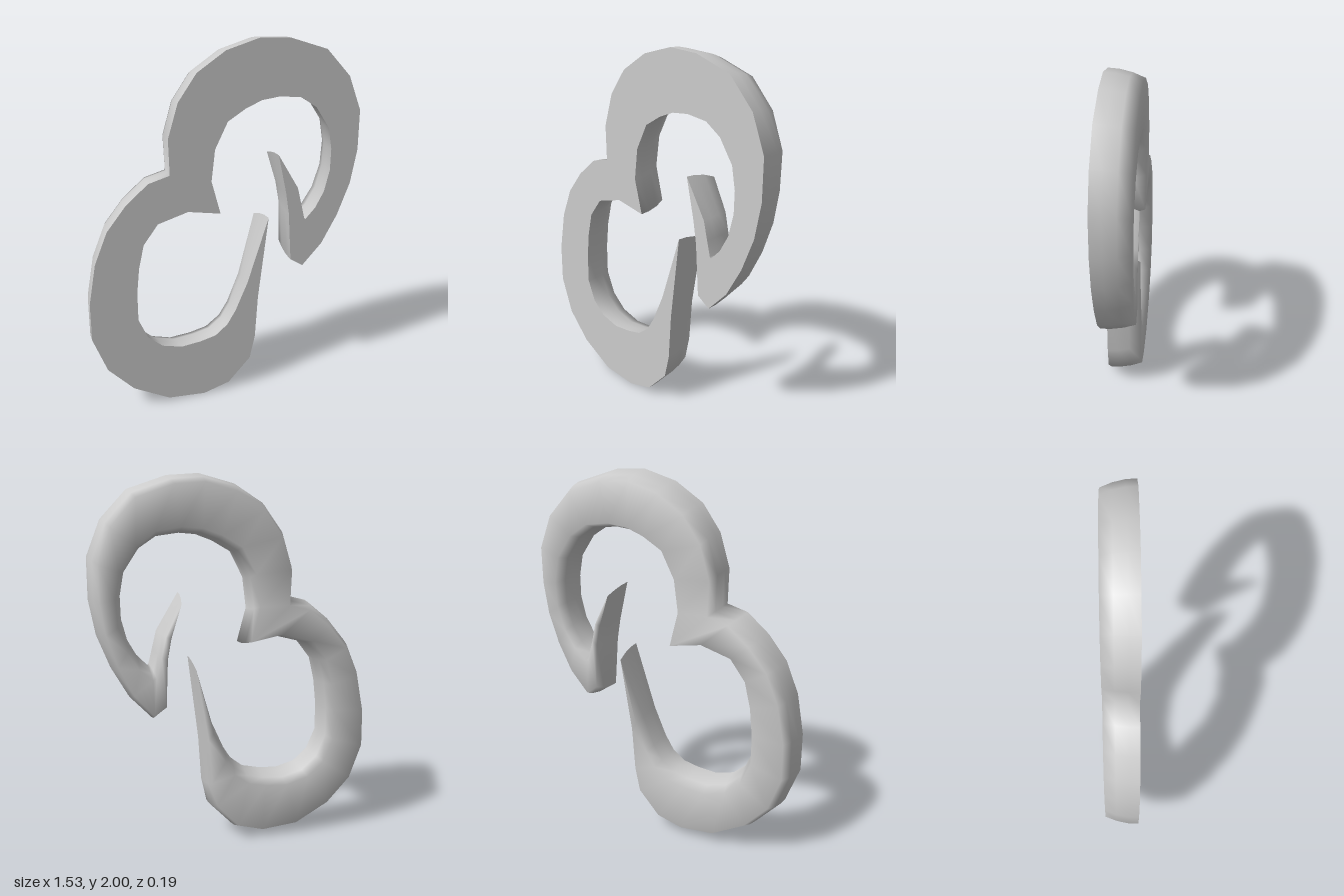
import * as THREE from 'three';

// Ribs across the band, from the upper tip to the lower tip: outer x, y, inner x, y
const RIBS = [
  [0.29, 1.38, 0.29, 1.38], [0.34, 1.16, 0.41, 1.18], [0.36, 1.04, 0.435, 1.08],
  [0.38, 0.76, 0.455, 1.0], [0.455, 0.71, 0.462, 0.99], [0.57, 0.83, 0.52, 1.05],
  [0.66, 0.99, 0.57, 1.14], [0.73, 1.17, 0.6, 1.26], [0.765, 1.36, 0.602, 1.38],
  [0.765, 1.58, 0.58, 1.5], [0.69, 1.77, 0.5, 1.62], [0.55, 1.92, 0.41, 1.68],
  [0.34, 1.99, 0.29, 1.695], [0.17, 2.0, 0.19, 1.685], [-0.01, 1.95, 0.1, 1.65],
  [-0.165, 1.85, 0, 1.59], [-0.265, 1.71, -0.07, 1.45], [-0.32, 1.53, -0.09, 1.28],
  [-0.315, 1.34, -0.04, 1.095], [-0.43, 1.31, -0.22, 1.13], [-0.55, 1.21, -0.385, 1.085],
  [-0.655, 1.08, -0.465, 0.98], [-0.725, 0.91, -0.495, 0.85], [-0.765, 0.69, -0.51, 0.71],
  [-0.765, 0.48, -0.51, 0.55], [-0.69, 0.28, -0.46, 0.435], [-0.55, 0.13, -0.38, 0.365],
  [-0.35, 0.02, -0.27, 0.335], [-0.14, 0, -0.16, 0.345], [0.01, 0.04, -0.07, 0.365],
  [0.14, 0.175, 0, 0.42], [0.17, 0.31, 0.05, 0.5], [0.185, 0.56, 0.12, 0.66],
  [0.24, 1.03, 0.24, 1.03],
];
// Edge profile from front to back: depth z, share of the full inset
const PROFILE = [[0.093, 0], [0.035, 0.08], [-0.03, 0.42], [-0.093, 1]];
const INSET = 0.042;

// Joins equal rows of points into an open smooth sheet
function loft(rows) {
  const n = rows[0].length, index = [];
  for (let i = 0; i < rows.length - 1; i++) {
    for (let j = 0; j < n - 1; j++) {
      const a = i * n + j, b = a + n;
      index.push(a, a + 1, b, b, a + 1, b + 1);
    }
  }
  const g = new THREE.BufferGeometry().setFromPoints(rows.flat());
  g.setIndex(index);
  g.computeVertexNormals();
  return g;
}

// Cross-section of one rib: outer edge to the back, then back out to the inner edge
function section(rib, i) {
  const outer = new THREE.Vector2(rib[0], rib[1]);
  const inner = new THREE.Vector2(rib[2], rib[3]);
  const width = outer.distanceTo(inner);
  const dir = inner.clone().sub(outer).normalize();
  let inset = Math.min(INSET, width * 0.3), back = -1;
  if (width === 0) {
    // Pointed ends lean back along the band
    const next = RIBS[i === 0 ? 1 : i - 1];
    dir.set((next[0] + next[2]) / 2, (next[1] + next[3]) / 2).sub(outer).normalize();
    inset = 0.04;
    back = 1;
  }
  const edge = (p, side) => PROFILE.map(([z, s]) =>
    new THREE.Vector3(p.x + dir.x * s * inset * side, p.y + dir.y * s * inset * side, z));
  return [...edge(outer, 1), ...edge(inner, back).reverse()];
}

export function createModel() {
  const group = new THREE.Group();
  group.name = 'doubleHook';
  const material = new THREE.MeshStandardMaterial({ color: 0xcccccc });
  const rows = RIBS.map(section);
  const add = (name, geometry) => {
    const mesh = new THREE.Mesh(geometry, material);
    mesh.name = name;
    group.add(mesh);
  };
  // Softly rounded sides and back
  add('roundedBack', loft(rows));
  // Flat front, kept separate for a crisp edge
  add('flatFront', loft(rows.map((r) => [r[r.length - 1], r[0]])));
  return group;
}
